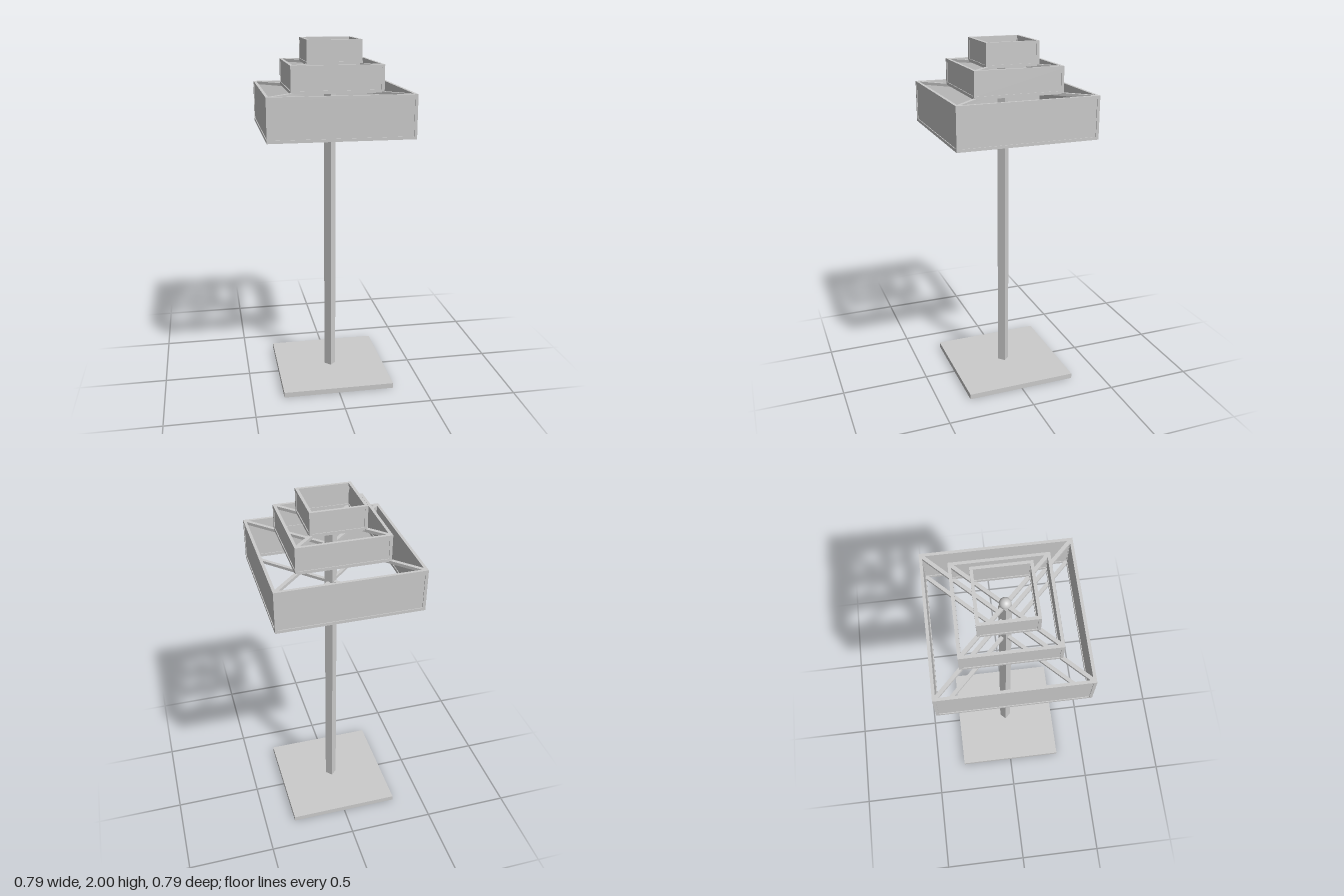
import * as THREE from 'three';

const BAR = 0.016;
const material = new THREE.MeshStandardMaterial({ color: 0xcccccc, flatShading: true });
const smooth = new THREE.MeshStandardMaterial({ color: 0xcccccc });

function box(parent, name, w, h, d, x, y, z, turn = 0) {
  const mesh = new THREE.Mesh(new THREE.BoxGeometry(w, h, d), material);
  mesh.name = name;
  mesh.position.set(x, y, z);
  mesh.rotation.y = turn;
  parent.add(mesh);
  return mesh;
}

// Open square tier: four sides, each with rails, a post and a recessed panel
function createTier(name, half, bottom, top) {
  const tier = new THREE.Group();
  tier.name = name;
  const mid = (bottom + top) / 2;
  const height = top - bottom;
  const edge = half - BAR / 2;
  const inner = 2 * (half - BAR);
  for (let i = 0; i < 4; i++) {
    const side = new THREE.Group();
    side.name = 'shadeSide';
    side.rotation.y = i * Math.PI / 2;
    box(side, 'bottomRail', inner, BAR, BAR, 0, bottom + BAR / 2, edge);
    box(side, 'topRail', inner, BAR, BAR, 0, top - BAR / 2, edge);
    box(side, 'cornerPost', BAR, height, BAR, edge, mid, edge);
    box(side, 'panel', inner, height - 2 * BAR, 0.008, 0, mid, edge);
    tier.add(side);
  }
  return tier;
}

// Diagonal cross joining opposite corners of a tier
function createCross(name, half, y) {
  const cross = new THREE.Group();
  cross.name = name;
  const length = 2 * Math.SQRT2 * (half - BAR);
  for (const s of [-1, 1]) {
    box(cross, 'diagonalBrace', length, BAR, 0.02, 0, y, 0, s * Math.PI / 4);
  }
  return cross;
}

export function createModel() {
  const lamp = new THREE.Group();
  lamp.name = 'floorLamp';

  // Base plate and square pole set corner-on
  box(lamp, 'base', 0.644, 0.03, 0.644, 0, 0.015, 0);
  box(lamp, 'pole', 0.048, 1.84, 0.048, 0, 0.95, 0, Math.PI / 4);

  // Three stacked shade tiers
  lamp.add(createTier('lowerTier', 0.396, 1.497, 1.733));
  lamp.add(createTier('middleTier', 0.252, 1.727, 1.875));
  lamp.add(createTier('upperTier', 0.151, 1.867, 2));

  // Crosses carrying the tiers
  lamp.add(createCross('bottomCross', 0.396, 1.505));
  lamp.add(createCross('middleCross', 0.396, 1.725));
  lamp.add(createCross('topCross', 0.252, 1.867));

  // Bulb on the pole end
  const bulb = new THREE.Mesh(new THREE.SphereGeometry(0.03, 24, 16), smooth);
  bulb.name = 'bulb';
  bulb.position.y = 1.885;
  lamp.add(bulb);

  return lamp;
}
